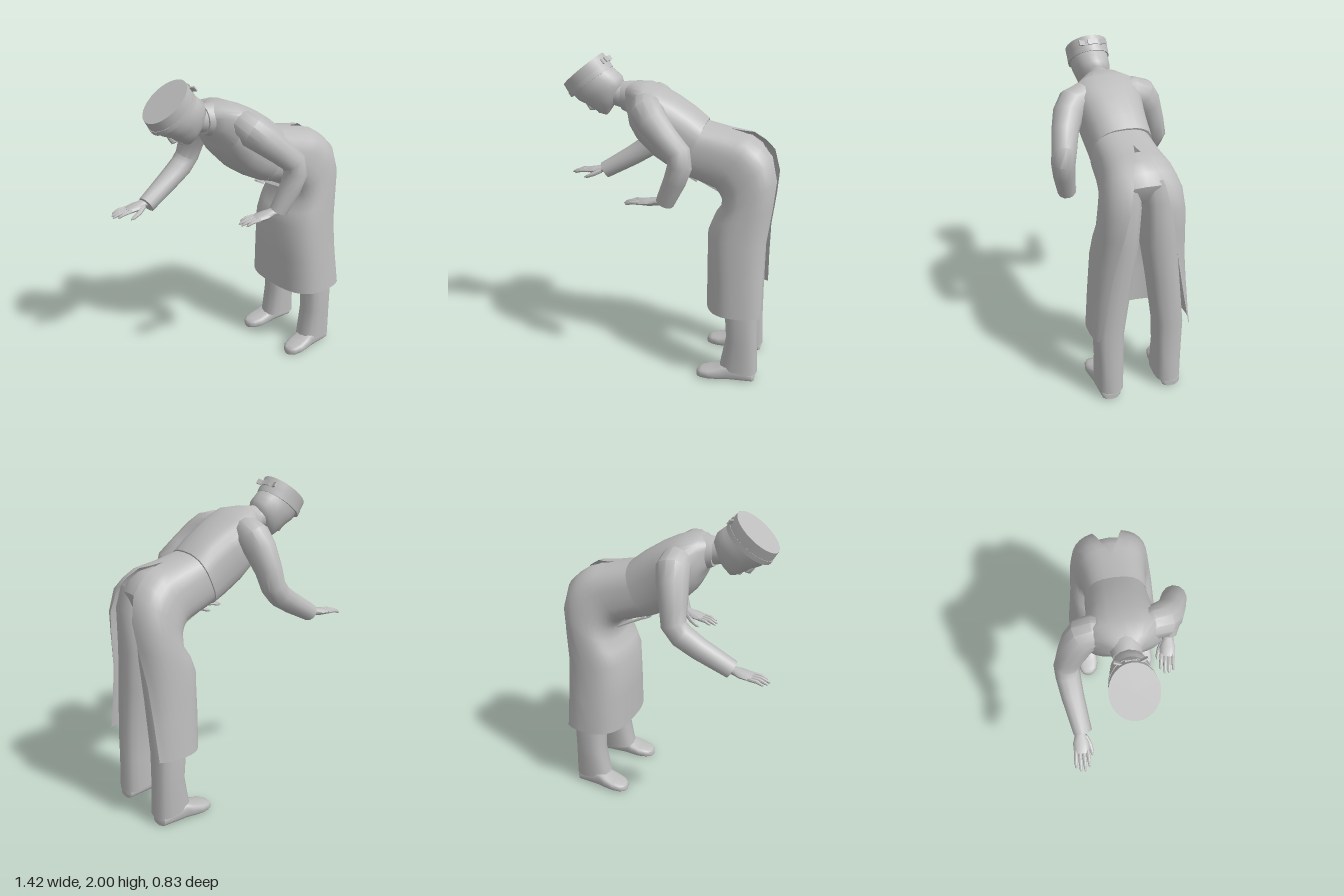
import * as THREE from 'three';
import { toCreasedNormals } from 'three/addons/utils/BufferGeometryUtils.js';

const V = (x, y, z = 0) => new THREE.Vector3(x, y, z);
const grey = new THREE.MeshStandardMaterial({ color: 0xbcbcbc, side: THREE.DoubleSide });
grey.name = 'plainGrey';

function add(parent, name, geometry) {
  const mesh = new THREE.Mesh(geometry, grey);
  mesh.name = name;
  parent.add(mesh);
  return mesh;
}

// Rounded ring around c spanned by half-axes u and v; gap leaves it open at +u
function ring(c, u, v, { n = 18, p = 0.85, gap = 0 } = {}) {
  const start = Math.asin(Math.pow(gap, 1 / p));
  const bend = (t) => Math.sign(t) * Math.pow(Math.abs(t), p);
  return Array.from({ length: n + 1 }, (_, i) => {
    const a = start + ((2 * Math.PI - 2 * start) * i) / n;
    return c.clone().addScaledVector(u, bend(Math.cos(a))).addScaledVector(v, bend(Math.sin(a)));
  });
}

// Skin over a list of rings, with optional end caps
function skin(rings, capped = true) {
  const pts = rings.flat();
  const m = rings[0].length;
  let faces = [];
  for (let r = 0; r < rings.length - 1; r++)
    for (let i = 0; i < m - 1; i++) {
      const a = r * m + i, b = a + m;
      faces.push([a, a + 1, b], [a + 1, b + 1, b]);
    }
  if (capped) [0, rings.length - 1].forEach((r) => {
    const mid = V(0, 0);
    rings[r].slice(1).forEach((q) => mid.addScaledVector(q, 1 / (m - 1)));
    const k = pts.push(mid) - 1;
    for (let i = 0; i < m - 1; i++) {
      const a = r * m + i;
      faces.push(r ? [a, a + 1, k] : [a + 1, a, k]);
    }
  });
  // Turn all faces outward
  const volume = faces.reduce((s, [a, b, c]) => s + pts[a].dot(pts[b].clone().cross(pts[c])), 0);
  if (volume < 0) faces = faces.map(([a, b, c]) => [a, c, b]);
  const g = new THREE.BufferGeometry().setFromPoints(pts);
  g.setIndex(faces.flat());
  return toCreasedNormals(g, 0.75);
}

// Body sections: [back x, back y, front x, front y, half width, gap half width, z shift]
function body(sections, opts = {}, z = 0, capped = true) {
  return skin(sections.map(([tx, ty, bx, by, w, g = 0, dz = 0]) =>
    ring(V((tx + bx) / 2, (ty + by) / 2, z + dz), V((tx - bx) / 2, (ty - by) / 2), V(0, 0, w),
      { ...opts, gap: g / w })), capped);
}

// Limb along stations: [x, y, z, radius, radius across]
function limb(stations, n = 12) {
  const c = stations.map((s) => V(s[0], s[1], s[2]));
  return skin(stations.map((s, i) => {
    const t = c[Math.min(i + 1, c.length - 1)].clone().sub(c[Math.max(i - 1, 0)]).normalize();
    const u = t.clone().cross(V(0, 0, 1)).normalize();
    const v = u.clone().cross(t);
    return ring(c[i], u.multiplyScalar(s[3]), v.multiplyScalar(s[4] ?? s[3]), { n, p: 1 });
  }));
}

// Flat hand pointing along -x, thumb on the given z side
function hand(name, side) {
  const g = new THREE.Group();
  g.name = name;
  add(g, 'palm', limb([[0.04, 0.005, 0, 0.028, 0.032], [-0.02, 0.002, 0, 0.024, 0.035],
    [-0.06, 0, 0, 0.023, 0.048], [-0.1, 0, 0, 0.019, 0.047], [-0.125, 0, 0, 0.012, 0.042]]));
  [0.085, 0.11, 0.105, 0.085].forEach((len, i) => {
    const z = side * (0.035 - i * 0.0235);
    add(g, 'finger', limb([[-0.11, 0, z, 0.012], [-0.12 - len * 0.5, 0.004, z * 1.08, 0.011],
      [-0.12 - len * 0.9, -0.004, z * 1.12, 0.008], [-0.12 - len, -0.008, z * 1.12, 0.003]], 8));
  });
  add(g, 'thumb', limb([[-0.02, -0.004, side * 0.025, 0.018], [-0.07, -0.022, side * 0.05, 0.015],
    [-0.115, -0.034, side * 0.06, 0.011], [-0.135, -0.038, side * 0.06, 0.004]], 8));
  return g;
}

function makeHead() {
  const head = new THREE.Group();
  head.name = 'head';
  // Skull and face
  add(head, 'face', body([
    [0.14, -0.06, -0.15, -0.06, 0.118], [0.158, -0.13, -0.143, -0.13, 0.116],
    [0.166, -0.18, -0.116, -0.18, 0.11], [0.15, -0.22, -0.108, -0.215, 0.1],
    [0.11, -0.25, -0.092, -0.25, 0.086], [0.06, -0.275, -0.08, -0.28, 0.066],
    [0.0, -0.285, -0.062, -0.305, 0.035]], { p: 0.95 }));
  add(head, 'nose', limb([[-0.112, -0.15, 0, 0.012], [-0.115, -0.185, 0, 0.015],
    [-0.116, -0.212, 0, 0.017], [-0.098, -0.226, 0, 0.012]], 8));
  add(head, 'lips', new THREE.SphereGeometry(0.02, 10, 6)).position.set(-0.078, -0.258, 0);
  // Flat-topped cap with a band and a rear strap
  add(head, 'cap', body([[0.158, 0, -0.156, 0, 0.132], [0.157, -0.045, -0.162, -0.04, 0.13],
    [0.152, -0.09, -0.168, -0.08, 0.127]], { n: 28, p: 1 }));
  add(head, 'capBand', body([[0.158, -0.068, -0.168, -0.058, 0.13],
    [0.155, -0.1, -0.17, -0.086, 0.129]], { n: 28, p: 1 }));
  [-1, 0, 1].forEach((i) => {
    const strap = add(head, 'capStrap', new THREE.BoxGeometry(0.009, 0.032, 0.062));
    strap.position.set(0.157 - 0.012 * Math.abs(i), -0.045, i * 0.058);
    strap.rotation.y = i * 0.38;
  });
  head.position.set(-0.5, 1.9, 0);
  head.rotation.z = 0.685;
  return head;
}

export function createModel() {
  const model = new THREE.Group();
  model.name = 'bowingFigure';
  model.add(makeHead());

  // Neck and standing collar
  add(model, 'neck', body([[-0.15, 1.82, -0.17, 1.68, 0.07], [-0.25, 1.825, -0.26, 1.675, 0.07],
    [-0.33, 1.85, -0.35, 1.70, 0.075]], { p: 1 }));
  add(model, 'collar', body([[-0.16, 1.84, -0.18, 1.63, 0.105], [-0.2, 1.84, -0.215, 1.645, 0.09],
    [-0.25, 1.835, -0.25, 1.66, 0.08]], { p: 1 }));

  // Bent jacket with broad shoulders
  add(model, 'jacket', body([
    [-0.225, 1.82, -0.22, 1.66, 0.075], [-0.17, 1.84, -0.2, 1.635, 0.13],
    [-0.08, 1.835, -0.18, 1.575, 0.21], [0.01, 1.80, -0.14, 1.50, 0.215],
    [0.1, 1.755, -0.04, 1.395, 0.197], [0.2, 1.69, 0.05, 1.335, 0.187],
    [0.28, 1.625, 0.14, 1.29, 0.185]], { n: 24, p: 0.77 }));

  // Skirted apron, wrapped round the front and parted behind from the seat down
  add(model, 'apronSkirt', body([
    [0.275, 1.615, 0.135, 1.295, 0.18], [0.42, 1.58, 0.25, 1.255, 0.19],
    [0.5, 1.565, 0.31, 1.235, 0.2, 0.02], [0.555, 1.555, 0.345, 1.22, 0.207, 0.05],
    [0.625, 1.51, 0.37, 1.19, 0.222, 0.07], [0.685, 1.45, 0.385, 1.16, 0.237, 0.09],
    [0.725, 1.31, 0.38, 1.09, 0.25, 0.12], [0.72, 1.15, 0.335, 1.03, 0.262, 0.15],
    [0.71, 0.92, 0.305, 0.95, 0.275, 0.195], [0.725, 0.7, 0.307, 0.7, 0.295, 0.238],
    [0.76, 0.475, 0.31, 0.465, 0.313, 0.282]], { n: 28, p: 0.75 }, 0.007, false));

  // Apron ties hanging under the belly
  [[0.27, 1.235, 0.02, 0.24], [0.29, 1.21, -0.03, 0.22], [0.19, 1.25, 0, 0.06]].forEach(([x, y, z, l]) => {
    const tie = add(model, 'apronTie', new THREE.BoxGeometry(l, 0.009, 0.03));
    tie.position.set(x, y, z);
    tie.rotation.z = -0.48;
  });

  // Trouser seat showing between the apron tails
  add(model, 'trouserSeat', body([[0.46, 1.555, 0.36, 1.3, 0.13], [0.545, 1.54, 0.4, 1.27, 0.16],
    [0.61, 1.495, 0.42, 1.25, 0.175], [0.648, 1.43, 0.43, 1.23, 0.18],
    [0.62, 1.33, 0.44, 1.2, 0.17]], { n: 20 }, 0.007));

  // Trouser legs and shoes
  [1, -1].forEach((s) => {
    add(model, 'trouserLeg', body([
      [0.63, 1.45, 0.43, 1.28, 0.092, 0, -0.092 * s], [0.665, 1.32, 0.42, 1.15, 0.1, 0, -0.083 * s],
      [0.66, 1.05, 0.4, 1.02, 0.1, 0, -0.072 * s], [0.652, 0.8, 0.42, 0.8, 0.096, 0, -0.04 * s],
      [0.648, 0.47, 0.44, 0.47, 0.092], [0.65, 0.28, 0.455, 0.28, 0.087],
      [0.66, 0.05, 0.42, 0.08, 0.085]], { n: 14, p: 0.75 }, s * 0.188 + 0.008));
    const shoe = (x, top, w) => ring(V(x, top / 2, s * (0.205 + (0.5 - x) * 0.06) + 0.005),
      V(0, top / 2), V(0, 0, w), { n: 14, p: 0.6 });
    add(model, 'shoe', skin([[0.645, 0.05, 0.04], [0.63, 0.07, 0.06], [0.55, 0.1, 0.065],
      [0.47, 0.11, 0.066], [0.42, 0.085, 0.071], [0.36, 0.065, 0.073], [0.31, 0.055, 0.06],
      [0.285, 0.045, 0.04], [0.275, 0.03, 0.015]].map((a) => shoe(...a))));
  });

  // Sleeves, rooted inside the shoulders
  add(model, 'leftSleeve', limb([
    [-0.08, 1.735, 0.05, 0.05], [-0.07, 1.715, 0.15, 0.09], [-0.045, 1.69, 0.215, 0.1],
    [0.0, 1.645, 0.262, 0.092], [0.08, 1.57, 0.305, 0.08], [0.165, 1.49, 0.335, 0.075],
    [0.175, 1.42, 0.345, 0.073], [0.145, 1.33, 0.335, 0.067], [0.08, 1.185, 0.305, 0.056]]));
  add(model, 'rightSleeve', limb([
    [-0.07, 1.735, -0.05, 0.05], [-0.07, 1.72, -0.15, 0.092], [-0.075, 1.695, -0.21, 0.102],
    [-0.09, 1.63, -0.255, 0.096], [-0.115, 1.51, -0.305, 0.082], [-0.13, 1.41, -0.335, 0.075],
    [-0.18, 1.35, -0.335, 0.073], [-0.28, 1.285, -0.325, 0.067], [-0.475, 1.175, -0.295, 0.056]]));

  // Outstretched hands
  const left = hand('leftHand', -1);
  left.position.set(0.045, 1.185, 0.298);
  left.rotation.set(0, -0.18, 0.12);
  const right = hand('rightHand', 1);
  right.position.set(-0.48, 1.18, -0.31);
  right.rotation.set(0, -0.04, 0.12);
  model.add(left, right);

  return model;
}
